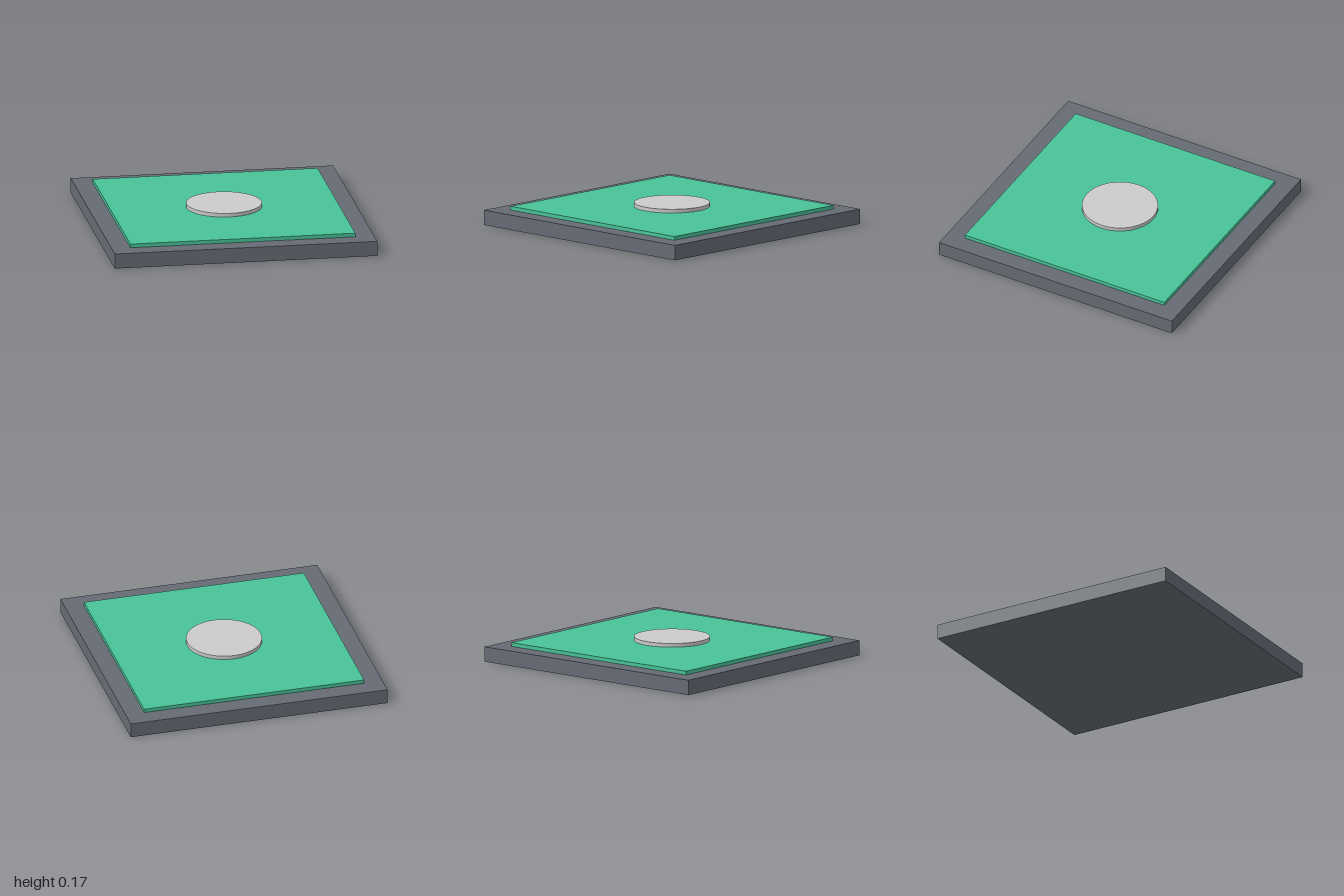
import * as THREE from 'three';

export function createModel() {
  const model = new THREE.Group();
  model.name = 'floorButton';

  const material = (name, color) => {
    const m = new THREE.MeshStandardMaterial({ color });
    m.name = name;
    return m;
  };

  // Adds a part whose underside rests at the given height
  const add = (name, geometry, mat, bottom, height) => {
    const mesh = new THREE.Mesh(geometry, mat);
    mesh.name = name;
    mesh.position.y = bottom + height / 2;
    model.add(mesh);
  };

  const baseHeight = 0.114;
  const layer = 0.0286;

  // Square slab
  add('base', new THREE.BoxGeometry(2, baseHeight, 2),
    material('slate grey', 0x666b74), 0, baseHeight);

  // Raised green panel
  add('panel', new THREE.BoxGeometry(1.714, layer, 1.714),
    material('green', 0x48c398), baseHeight, layer);

  // Round centre disc
  add('disc', new THREE.CylinderGeometry(0.286, 0.286, layer, 32),
    material('light grey', 0xcccccc), baseHeight + layer, layer);

  return model;
}
